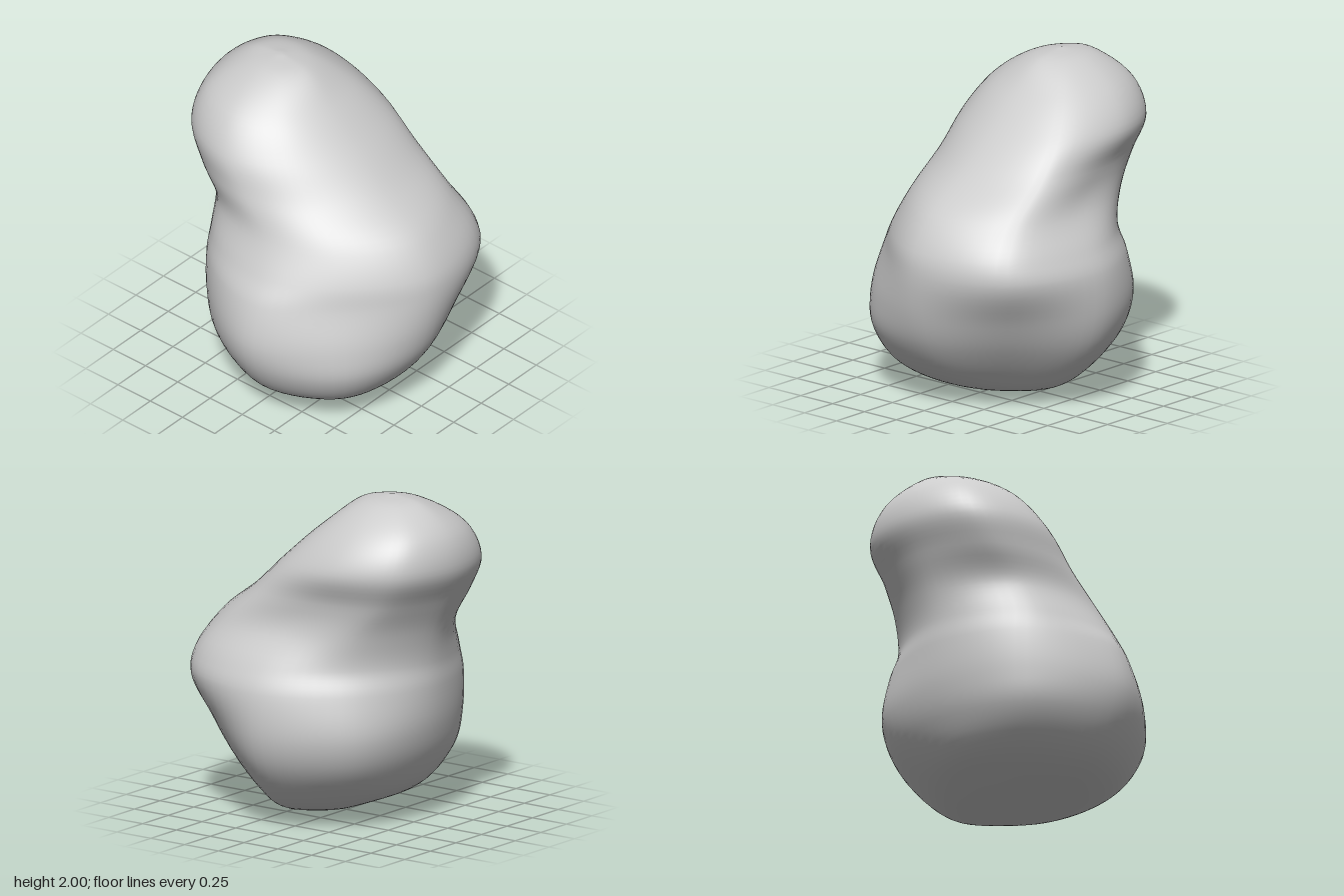
import * as THREE from 'three';

// Horizontal sections of the boulder, bottom to top:
// height, centre x, centre z, then eight radii at 45 degree steps from +x towards +z
const SECTIONS = [
  [0.00, 0.07, 0.13, 0, 0, 0, 0, 0, 0, 0, 0],
  [0.09, 0.03, 0.10, 0.43, 0.33, 0.35, 0.44, 0.50, 0.40, 0.32, 0.38],
  [0.20, 0.00, 0.08, 0.61, 0.48, 0.54, 0.63, 0.66, 0.57, 0.53, 0.56],
  [0.40, 0.00, 0.08, 0.76, 0.63, 0.69, 0.75, 0.79, 0.72, 0.66, 0.73],
  [0.60, 0.00, 0.08, 0.82, 0.74, 0.76, 0.75, 0.83, 0.76, 0.72, 0.79],
  [0.85, 0.00, 0.08, 0.81, 0.86, 0.785, 0.68, 0.77, 0.76, 0.74, 0.75],
  [1.00, 0.00, 0.08, 0.74, 0.83, 0.76, 0.64, 0.68, 0.73, 0.74, 0.70],
  [1.20, 0.02, 0.00, 0.59, 0.73, 0.72, 0.60, 0.60, 0.65, 0.70, 0.65],
  [1.40, 0.03, -0.20, 0.55, 0.69, 0.65, 0.57, 0.58, 0.60, 0.58, 0.58],
  [1.60, 0.05, -0.33, 0.56, 0.61, 0.56, 0.53, 0.57, 0.57, 0.53, 0.56],
  [1.80, 0.05, -0.40, 0.44, 0.45, 0.41, 0.40, 0.43, 0.43, 0.41, 0.44],
  [1.96, 0.07, -0.41, 0.19, 0.20, 0.22, 0.19, 0.18, 0.18, 0.21, 0.20],
  [2.00, 0.07, -0.40, 0, 0, 0, 0, 0, 0, 0, 0],
];
const AROUND = 64;
const UP = 72;

// Smooth closed ring through the eight points of one section
function ringPoints([y, cx, cz, ...radii]) {
  const corners = radii.map((r, i) => {
    const a = (i * Math.PI) / 4;
    return new THREE.Vector3(cx + r * Math.cos(a), y, cz + r * Math.sin(a));
  });
  const curve = new THREE.CatmullRomCurve3(corners, true);
  return Array.from({ length: AROUND }, (_, i) => curve.getPoint(i / AROUND));
}

// Skin over the sections, with shared vertices so the surface shades smoothly
function loft(sections) {
  const rings = sections.map(ringPoints);
  const meridians = Array.from({ length: AROUND }, (_, i) =>
    new THREE.CatmullRomCurve3(rings.map((ring) => ring[i])));
  const positions = [];
  const index = [];
  for (let j = 1; j < UP; j++) {
    for (const m of meridians) positions.push(...m.getPoint(j / UP).toArray());
  }
  const bottom = positions.length / 3;
  positions.push(...rings[0][0].toArray(), ...rings[rings.length - 1][0].toArray());
  const last = (UP - 2) * AROUND;
  for (let i = 0; i < AROUND; i++) {
    const n = (i + 1) % AROUND;
    for (let j = 0; j < UP - 2; j++) {
      const a = j * AROUND;
      const b = a + AROUND;
      index.push(a + i, b + i, a + n, a + n, b + i, b + n);
    }
    index.push(bottom, i, n, bottom + 1, last + n, last + i);
  }
  const geometry = new THREE.BufferGeometry();
  geometry.setAttribute('position', new THREE.Float32BufferAttribute(positions, 3));
  geometry.setIndex(index);
  geometry.computeVertexNormals();
  return geometry;
}

export function createModel() {
  const group = new THREE.Group();
  group.name = 'rock';
  const boulder = new THREE.Mesh(
    loft(SECTIONS),
    new THREE.MeshStandardMaterial({ color: 0xcccccc }),
  );
  boulder.name = 'boulder';
  group.add(boulder);
  return group;
}
